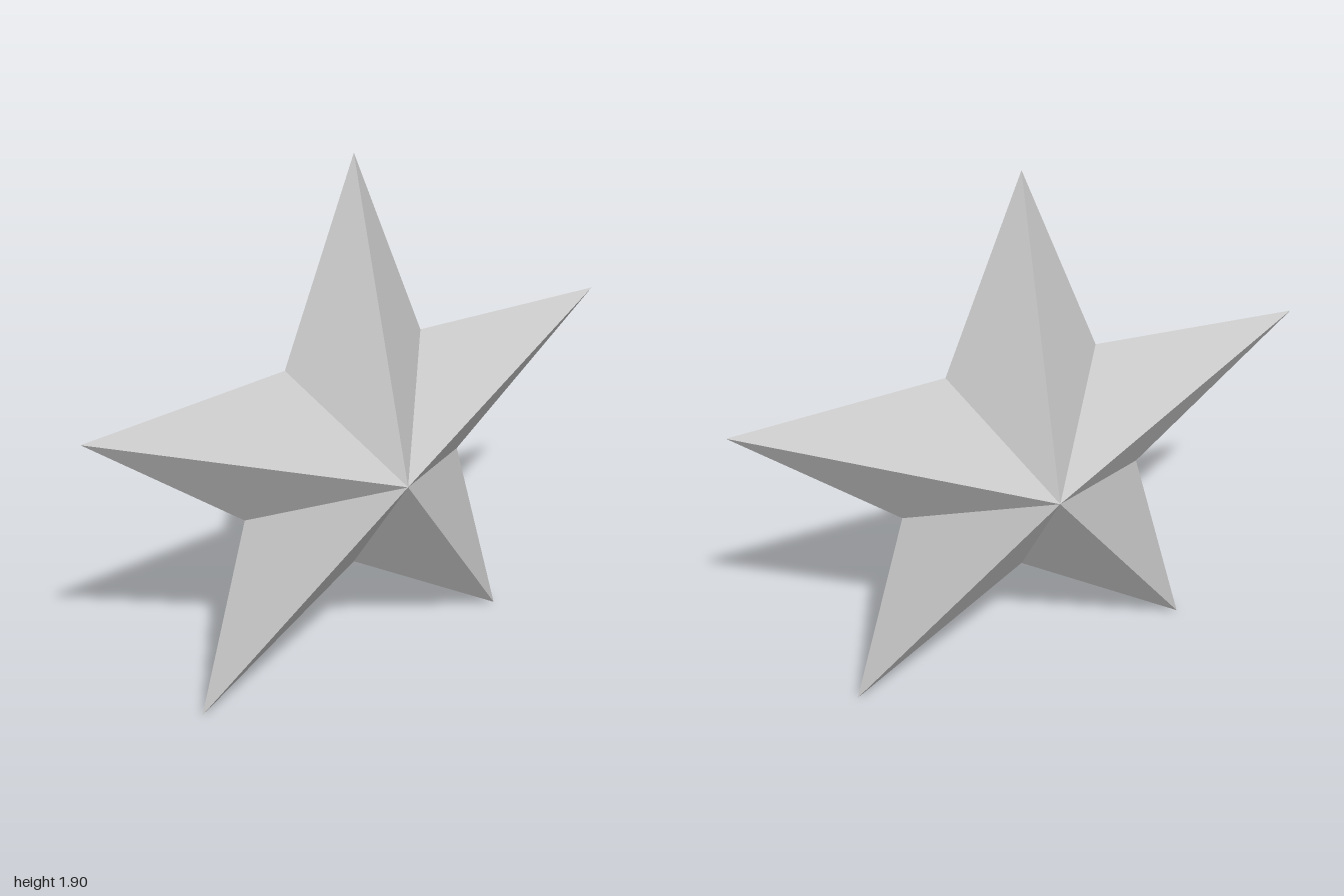
import * as THREE from 'three';

const OUTER = 1.0515;   // tip radius
const INNER = 0.452;    // notch radius
const DEPTH = 0.315;    // height of the centre peak on each side
const CENTRE_Y = 0.8507;

// One faceted half: a fan from the centre peak to the star outline
function starHalf(side) {
  const rim = (i) => {
    const a = Math.PI / 2 + (i * Math.PI) / 5;
    const r = i % 2 === 0 ? OUTER : INNER;
    return [r * Math.cos(a), r * Math.sin(a), 0];
  };
  const positions = [];
  for (let i = 0; i < 10; i++) {
    const a = rim(i), b = rim((i + 1) % 10);
    positions.push(0, 0, side * DEPTH, ...(side > 0 ? [...a, ...b] : [...b, ...a]));
  }
  const geometry = new THREE.BufferGeometry();
  geometry.setAttribute('position', new THREE.Float32BufferAttribute(positions, 3));
  geometry.computeVertexNormals();
  return geometry;
}

export function createModel() {
  const model = new THREE.Group();
  model.name = 'star';

  const grey = new THREE.MeshStandardMaterial({ color: 0xc8c8c8 });
  grey.name = 'light grey';
  grey.flatShading = true;

  // Front and back halves meet along the flat outline
  for (const [name, side] of [['starFront', 1], ['starBack', -1]]) {
    const half = new THREE.Mesh(starHalf(side), grey);
    half.name = name;
    half.position.y = CENTRE_Y;
    model.add(half);
  }
  return model;
}
